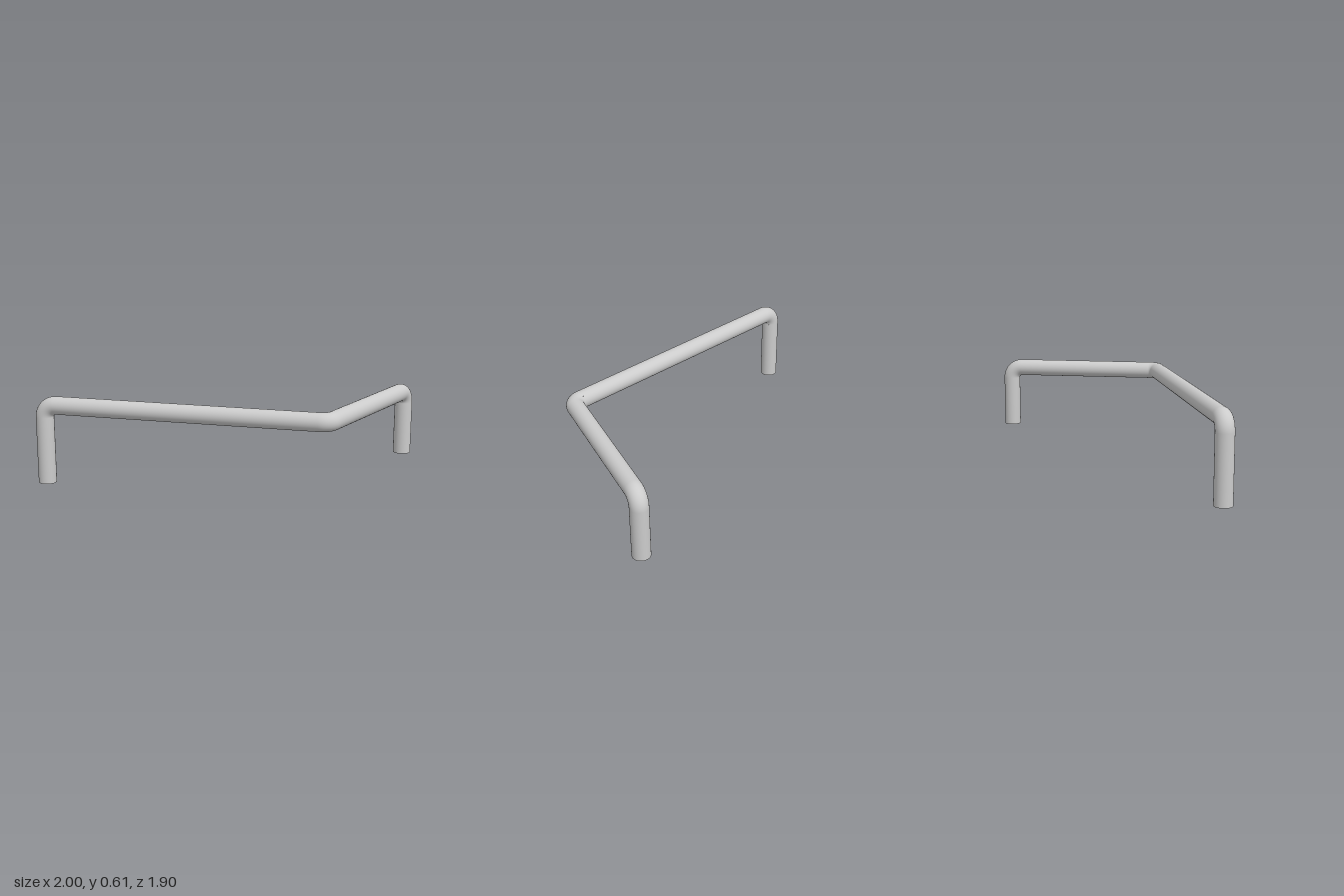
import * as THREE from 'three';

const RADIUS = 0.0625; // rod radius
const BEND = 0.083;    // centreline radius of the bends
const SIDES = 48;

const material = new THREE.MeshStandardMaterial({ color: 0xcccccc });

// Straight rod between two points
function rod(name, from, to, open) {
  const dir = to.clone().sub(from);
  const geometry = new THREE.CylinderGeometry(RADIUS, RADIUS, dir.length(), SIDES, 1, open);
  const mesh = new THREE.Mesh(geometry, material);
  mesh.name = name;
  mesh.position.copy(from).add(to).multiplyScalar(0.5);
  mesh.quaternion.setFromUnitVectors(new THREE.Vector3(0, 1, 0), dir.normalize());
  return mesh;
}

// Rounded elbow at a corner, with the points where the straight rods meet it
function elbow(name, before, corner, after) {
  const d1 = corner.clone().sub(before).normalize();
  const d2 = after.clone().sub(corner).normalize();
  const turn = d1.angleTo(d2);
  const trim = BEND * Math.tan(turn / 2);
  const start = corner.clone().addScaledVector(d1, -trim);
  const end = corner.clone().addScaledVector(d2, trim);

  const outward = d1.clone().multiplyScalar(d1.dot(d2)).sub(d2).normalize();
  const axis = outward.clone().cross(d1);
  const geometry = new THREE.TorusGeometry(BEND, RADIUS, SIDES, 20, turn);
  const mesh = new THREE.Mesh(geometry, material);
  mesh.name = name;
  mesh.quaternion.setFromRotationMatrix(new THREE.Matrix4().makeBasis(outward, d1, axis));
  mesh.position.copy(start).addScaledVector(outward, -BEND);
  return { mesh, start, end };
}

export function createModel() {
  const group = new THREE.Group();
  group.name = 'bentRail';

  // Sharp corners of the rod's centreline, from the front foot to the back foot
  const p = [
    [-0.9375, 0, 0.8875],
    [-0.9375, 0.55, 0.8875],
    [0.9375, 0.55, 0.283],
    [0.9375, 0.55, -0.8875],
    [0.9375, 0.09, -0.8875],
  ].map((c) => new THREE.Vector3(...c));

  const bends = ['frontLegBend', 'cornerBend', 'backLegBend'].map(
    (name, i) => elbow(name, p[i], p[i + 1], p[i + 2]));
  bends.forEach((b) => group.add(b.mesh));

  // Capped legs and the two open bars between the bends
  group.add(
    rod('frontLeg', p[0], bends[0].start, false),
    rod('longBar', bends[0].end, bends[1].start, true),
    rod('shortBar', bends[1].end, bends[2].start, true),
    rod('backLeg', bends[2].end, p[4], false),
  );
  return group;
}
